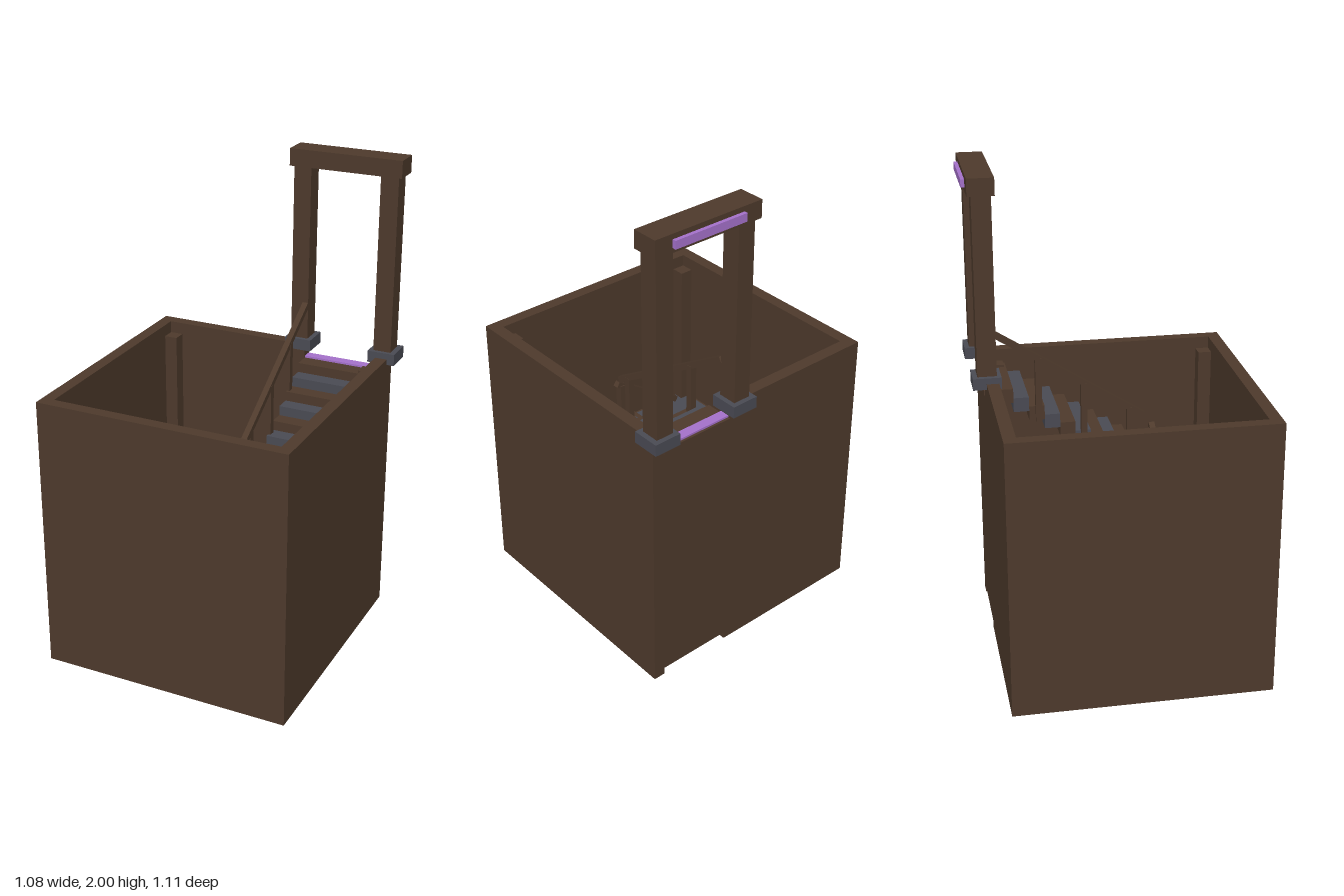
import * as THREE from 'three';

const wood = new THREE.MeshStandardMaterial({ color: 0x4e3a2c });
wood.name = 'darkWood';
const stone = new THREE.MeshStandardMaterial({ color: 0x4a4b54 });
stone.name = 'greyStone';
const glow = new THREE.MeshStandardMaterial({ color: 0xa672cc });
glow.name = 'purpleMarker';

// Box given by its minimum and maximum on each axis
function box(parent, name, mat, [x0, x1], [y0, y1], [z0, z1]) {
  const mesh = new THREE.Mesh(new THREE.BoxGeometry(x1 - x0, y1 - y0, z1 - z0), mat);
  mesh.position.set((x0 + x1) / 2, (y0 + y1) / 2, (z0 + z1) / 2);
  mesh.name = name;
  parent.add(mesh);
  return mesh;
}

// Square bar stretched between two points
function bar(parent, name, a, b, width) {
  const from = new THREE.Vector3(...a), to = new THREE.Vector3(...b);
  const mesh = new THREE.Mesh(new THREE.BoxGeometry(width, width, from.distanceTo(to)), wood);
  mesh.position.copy(from).lerp(to, 0.5);
  mesh.lookAt(to);
  mesh.name = name;
  parent.add(mesh);
}

function group(parent, name) {
  const g = new THREE.Group();
  g.name = name;
  parent.add(g);
  return g;
}

export function createModel() {
  const model = new THREE.Group();
  model.name = 'stairwell';

  // Well floor and marker
  box(model, 'base', wood, [-0.49, 0.455], [0, 0.06], [-0.435, 0.505]);
  box(model, 'floorMarker', glow, [-0.085, 0.045], [0.06, 0.067], [-0.19, -0.06]);

  // Walls, with a doorway at the top of the back wall
  const walls = group(model, 'walls');
  const high = [0.03, 1.18];
  box(walls, 'frontWall', wood, [-0.54, 0.505], high, [0.505, 0.555]);
  box(walls, 'rightWall', wood, [-0.54, -0.49], high, [-0.44, 0.505]);
  box(walls, 'leftWall', wood, [0.455, 0.505], high, [-0.44, 0.505]);
  box(walls, 'backWall', wood, [-0.54, 0.14], high, [-0.49, -0.44]);
  box(walls, 'backWallEnd', wood, [0.455, 0.505], high, [-0.49, -0.44]);
  box(walls, 'wallBelowDoor', wood, [0.14, 0.455], [0.06, 1.1], [-0.49, -0.44]);
  box(walls, 'doorSill', wood, [0.14, 0.455], [1.1, 1.12], [-0.495, -0.44]);
  box(walls, 'sillStrip', glow, [0.14, 0.455], [1.12, 1.128], [-0.485, -0.445]);

  // Corner posts
  for (const x of [-0.49, 0.4])
    for (const z of [-0.44, 0.45])
      box(model, 'cornerPost', wood, [x, x + 0.055], [0.06, 1.13], [z, z + 0.055]);

  // Three flights of alternating treads, each step 0.04 lower
  const stairs = group(model, 'stairs');
  const run = 0.063, rise = 0.04, thick = 0.06;
  for (let i = 0; i < 10; i++) {
    const upper = 1.12 - i * rise, lower = 0.44 - i * rise;
    const zu = -0.44 + i * run, zl = 0.19 - (i + 1) * run;
    box(stairs, 'upperStep', i % 2 && i < 9 ? stone : wood,
      [0.14, 0.455], [upper - thick, upper], [zu, zu + run]);
    box(stairs, 'lowerStep', i % 2 ? wood : stone,
      [-0.49, -0.175], [Math.max(0.03, lower - thick), lower], [zl, zl + run]);
  }
  for (let i = 0; i < 5; i++) {
    const y = 0.68 - i * rise, x = 0.14 - (i + 1) * run;
    box(stairs, 'middleStep', i === 0 || i === 2 ? stone : wood,
      [x, x + run], [y - thick, y], [0.19, 0.505]);
  }

  // Landings with stone inlays
  for (const [x, y] of [[0.14, 0.72], [-0.49, 0.48]]) {
    box(stairs, 'landing', wood, [x, x + 0.315], [y - thick, y], [0.19, 0.505]);
    box(stairs, 'landingInlay', stone, [x + 0.013, x + 0.302], [y, y + 0.006], [0.203, 0.49]);
  }

  // Handrails and their posts
  const rails = group(model, 'railings');
  bar(rails, 'upperHandrail', [0.139, 1.355, -0.445], [0.139, 0.975, 0.155], 0.024);
  for (const z of [-0.275, -0.09, 0.1]) {
    const top = 1.355 - 0.634 * (z + 0.445);
    box(rails, 'upperRailPost', wood, [0.126, 0.152], [top - 0.27, top], [z - 0.013, z + 0.013]);
  }
  bar(rails, 'middleHandrail', [0.135, 0.93, 0.19], [-0.175, 0.73, 0.19], 0.024);
  for (const x of [0.11, -0.08]) {
    const top = 0.93 - 0.645 * (0.135 - x);
    box(rails, 'middleRailPost', wood, [x - 0.015, x + 0.015], [top - 0.27, top + 0.005], [0.175, 0.205]);
  }

  // Gateway over the door
  const gate = group(model, 'gateway');
  for (const [x0, x1, b0, b1] of [[0.075, 0.148, 0.055, 0.168], [0.44, 0.514, 0.422, 0.536]]) {
    box(gate, 'pillarFoot', stone, [b0, b1], [1.157, 1.205], [-0.544, -0.43]);
    box(gate, 'pillar', wood, [x0, x1], [1.205, 1.93], [-0.524, -0.447]);
  }
  box(gate, 'lintel', wood, [0.06, 0.53], [1.93, 2], [-0.54, -0.434]);
  box(gate, 'lintelStrip', glow, [0.14, 0.455], [1.948, 1.98], [-0.555, -0.54]);

  return model;
}
